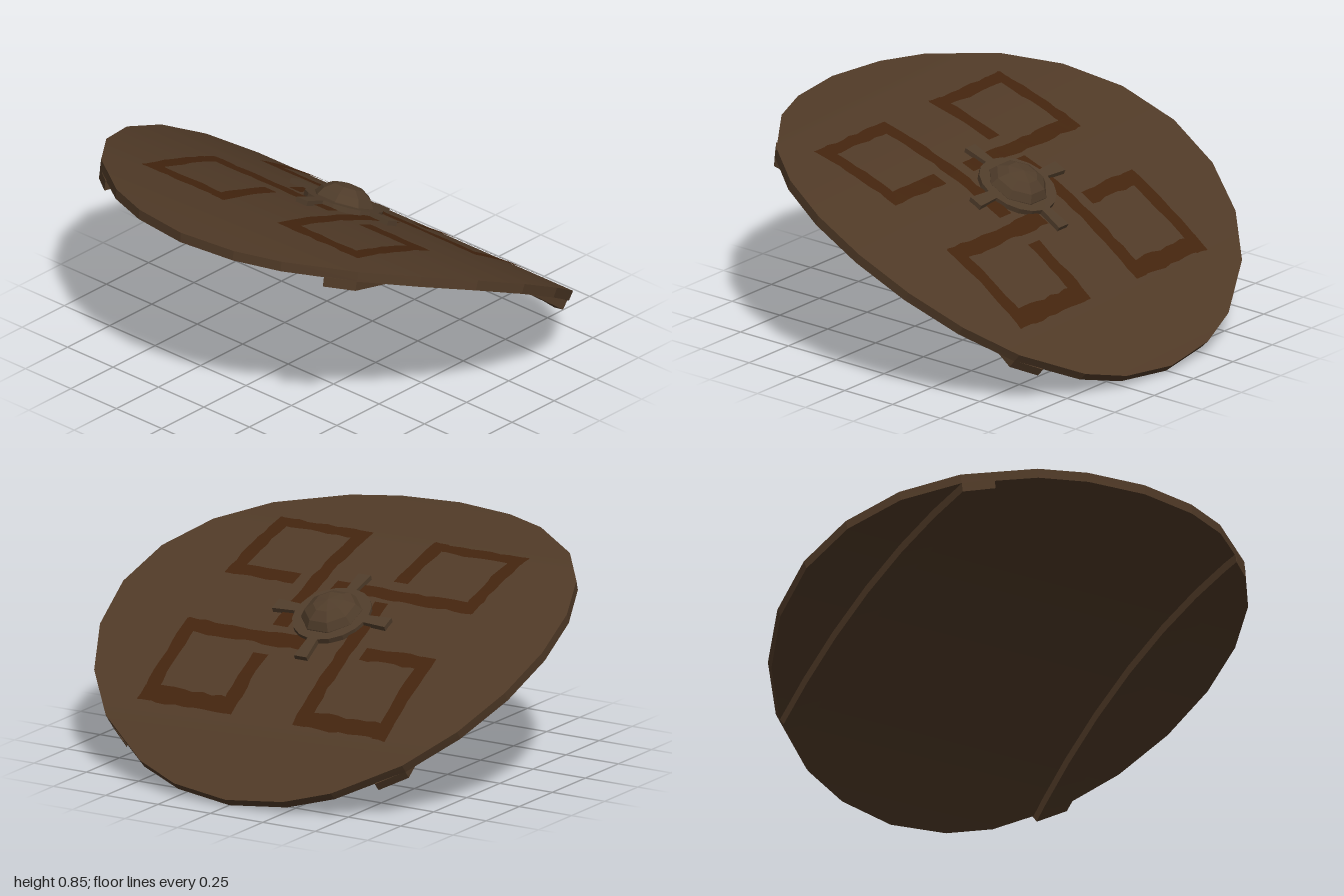
import * as THREE from 'three';
import { toCreasedNormals } from 'three/addons/utils/BufferGeometryUtils.js';

const R = 2.76, TILT = 0.4346, CZ = 1.087, CY = -1.901;

// Wraps a flat point (x, height h, arc length s) onto the curved shield.
function bend(x, h, s) {
  const a = TILT - s / R, r = R + h;
  return [x, CY + r * Math.cos(a), CZ - r * Math.sin(a)];
}
const arcFromZ = (z) => R * (TILT - Math.asin((CZ - z) / R));

function bendGeometry(g) {
  const p = g.attributes.position;
  for (let i = 0; i < p.count; i++) p.setXYZ(i, ...bend(p.getX(i), p.getY(i), p.getZ(i)));
  return g;
}

function fromTriangles(pos, index, crease) {
  const g = new THREE.BufferGeometry();
  g.setAttribute('position', new THREE.Float32BufferAttribute(pos, 3));
  g.setIndex(index);
  return toCreasedNormals(g, crease);
}

// Curved slab from rows [s, x0, x1], ordered front to back.
function bentSlab(rows, top, bottom) {
  const pos = [], index = [];
  for (const [s, x0, x1] of rows) {
    pos.push(...bend(x0, top, s), ...bend(x1, top, s), ...bend(x1, bottom, s), ...bend(x0, bottom, s));
  }
  const quad = (a, b, c, d) => index.push(a, b, c, a, c, d);
  for (let i = 0; i < rows.length - 1; i++) {
    const f = i * 4, b = f + 4;
    for (let k = 0; k < 4; k++) {
      const n = (k + 1) % 4;
      quad(f + k, f + n, b + n, b + k);
    }
  }
  const e = (rows.length - 1) * 4;
  quad(3, 2, 1, 0);
  quad(e, e + 1, e + 2, e + 3);
  return fromTriangles(pos, index, 0.2);
}

export function createModel() {
  const group = new THREE.Group();
  const mat = (name, color) => {
    const m = new THREE.MeshStandardMaterial({ color });
    m.name = name;
    return m;
  };
  const wood = mat('brown wood', 0x503a27);
  const metal = mat('dull bronze', 0x4f3c2a);
  const paint = mat('dark red paint', 0x43240e);
  paint.side = THREE.DoubleSide;

  const add = (name, geometry, material, parent = group) => {
    const m = new THREE.Mesh(geometry, material);
    m.name = name;
    parent.add(m);
    return m;
  };

  // Round board, curved from front to back
  const angles = [0, 15, 27, 45, 60, 75, 90, 105, 120, 135, 153, 165, 180];
  const rows = angles.map((d) => {
    const t = THREE.MathUtils.degToRad(d), w = Math.sin(t);
    return [Math.cos(t), -w, w];
  });
  add('board', bentSlab(rows, 0, -0.042), wood);

  // Two battens underneath, trimmed at the rim
  const battenRows = [0.79, 0.707, 0.5, 0.259, 0, -0.259, -0.5, -0.707, -0.79];
  for (const side of [1, -1]) {
    const r = battenRows.map((s) => {
      const outer = Math.abs(s) > 0.75 ? 0.602 : 0.706;
      return side > 0 ? [s, 0.6, outer] : [s, -outer, -0.6];
    });
    add(side > 0 ? 'leftBatten' : 'rightBatten', bentSlab(r, -0.04, -0.082), wood);
  }

  // Painted curls with slightly rough edges, given as x, z centre lines
  let seed = 7;
  const rough = () => {
    seed = (seed * 16807) % 2147483647;
    return (seed / 2147483647 - 0.5) * 0.012;
  };
  const curls = {
    backRightCurl: [[-0.165, 0.01], [-0.165, -0.56], [-0.545, -0.56], [-0.545, -0.235], [-0.28, -0.235]],
    backLeftCurl: [[0.07, -0.24], [0.57, -0.24], [0.57, -0.56], [0.19, -0.56], [0.19, -0.35]],
    frontRightCurl: [[0.07, 0.095], [-0.545, 0.095], [-0.545, 0.46], [-0.165, 0.46], [-0.165, 0.21]],
    frontLeftCurl: [[0.19, -0.14], [0.19, 0.455], [0.57, 0.455], [0.57, 0.095], [0.31, 0.095]],
  };
  const half = 0.032;
  for (const [name, path] of Object.entries(curls)) {
    const pos = [], index = [];
    for (let i = 0; i < path.length - 1; i++) {
      const a = new THREE.Vector2(...path[i]), b = new THREE.Vector2(...path[i + 1]);
      const dir = b.clone().sub(a).normalize();
      a.addScaledVector(dir, -half);
      b.addScaledVector(dir, half);
      const steps = Math.ceil(a.distanceTo(b) / 0.045);
      for (let k = 0; k <= steps; k++) {
        const c = a.clone().lerp(b, k / steps);
        const n = pos.length / 3;
        for (const sgn of [-1, 1]) {
          const w = sgn * (half + rough());
          pos.push(...bend(c.x - dir.y * w, 0.004, arcFromZ(c.y + dir.x * w)));
        }
        if (k < steps) index.push(n, n + 1, n + 3, n, n + 3, n + 2);
      }
    }
    add(name, fromTriangles(pos, index, 0.3), paint);
  }

  // Four-armed collar around the boss
  const star = new THREE.Shape();
  const pts = [];
  for (let q = 0; q < 4; q++) {
    const local = [[0.162, -0.023], [0.268, -0.03], [0.268, 0.03], [0.162, 0.023]];
    for (const d of [25, 45, 65]) {
      const t = THREE.MathUtils.degToRad(d);
      local.push([0.165 * Math.cos(t), 0.165 * Math.sin(t)]);
    }
    for (const [x, y] of local) pts.push(new THREE.Vector2(x, y).rotateAround(new THREE.Vector2(), q * Math.PI / 2));
  }
  star.setFromPoints(pts);
  const collar = new THREE.ExtrudeGeometry(star, { depth: 0.03, bevelEnabled: false });
  collar.rotateX(-Math.PI / 2).translate(0, -0.01, 0);
  add('collar', toCreasedNormals(bendGeometry(collar), 0.2), metal);

  // Faceted boss in the middle
  const profile = [[0.13, 0], [0.128, 0.02], [0.107, 0.052], [0.065, 0.078], [0, 0.09]];
  const dome = new THREE.LatheGeometry(profile.map((p) => new THREE.Vector2(...p)), 8).toNonIndexed();
  dome.rotateY(Math.PI / 8);
  dome.computeVertexNormals();
  const boss = add('boss', dome, metal);
  boss.position.set(...bend(0, 0, 0));
  boss.rotation.x = -TILT;

  return group;
}
